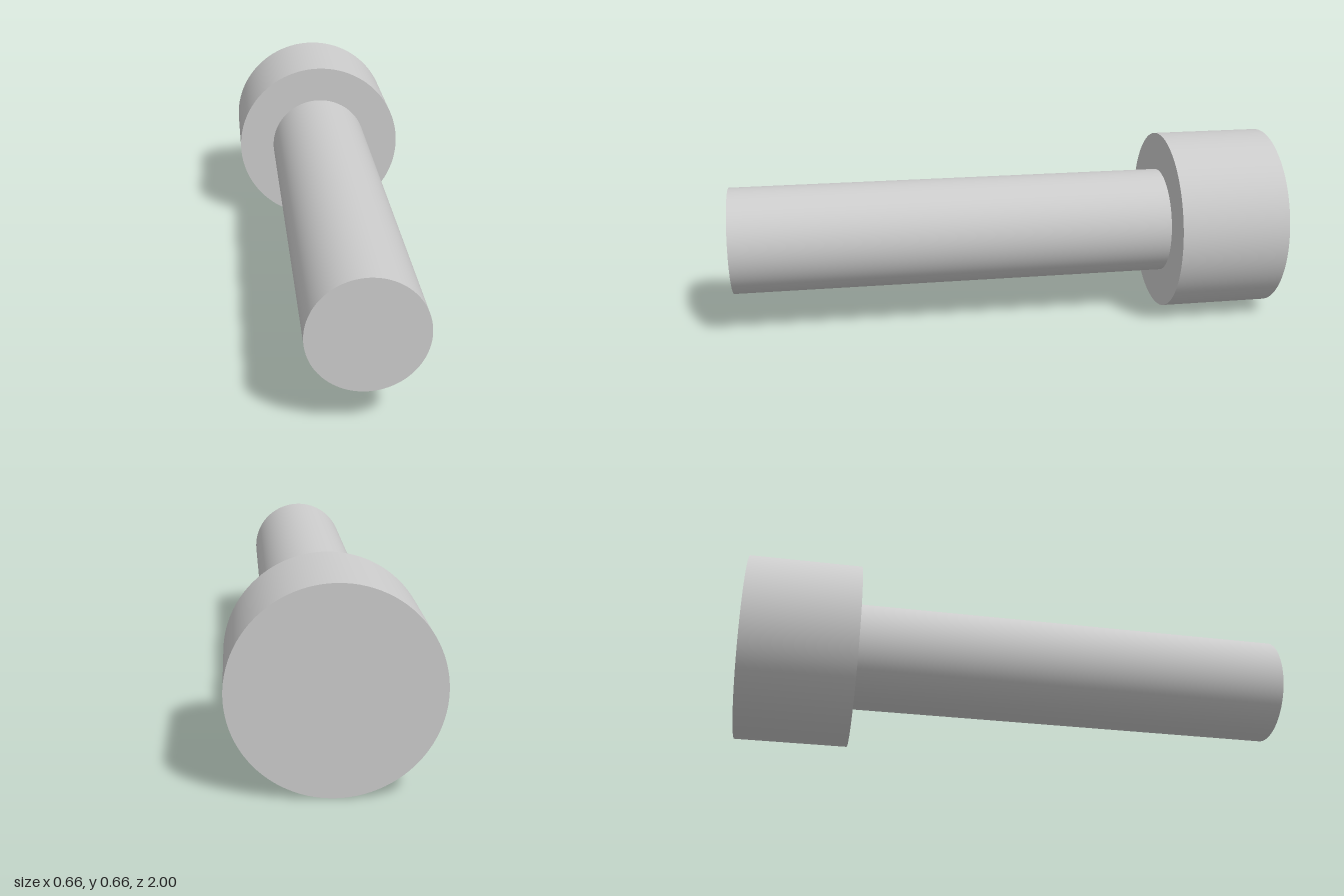
import * as THREE from 'three';

const HEAD_RADIUS = 0.3315;
const SHANK_RADIUS = 0.1935;
const SEGMENTS = 96;

export function createModel() {
  const group = new THREE.Group();
  group.name = 'bolt';
  const material = new THREE.MeshStandardMaterial({ color: 0xcccccc });

  // Solid round bar lying along z, between two z positions
  function addBar(name, radius, zBack, zFront) {
    const geometry = new THREE.CylinderGeometry(radius, radius, zFront - zBack, SEGMENTS);
    geometry.rotateX(Math.PI / 2);
    const mesh = new THREE.Mesh(geometry, material);
    mesh.name = name;
    mesh.position.set(0, HEAD_RADIUS, (zBack + zFront) / 2);
    group.add(mesh);
  }

  // Wide plain head at the back, long shank reaching to the front
  addBar('head', HEAD_RADIUS, -1, -0.6);
  addBar('shank', SHANK_RADIUS, -0.6, 1);

  return group;
}
